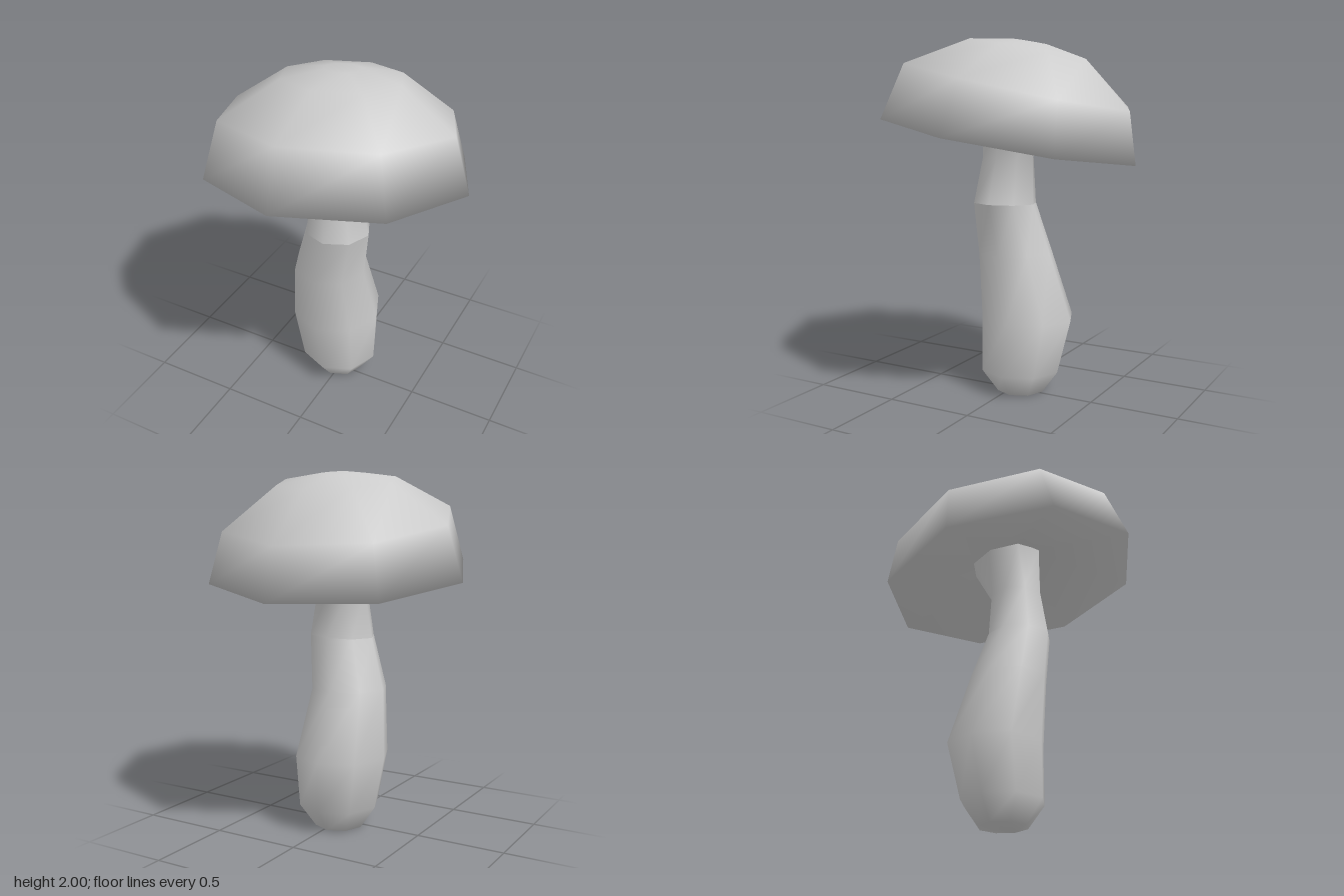
import * as THREE from 'three';

const SIDES = 8;

// Skins a stack of tilted elliptical rings, smooth shaded.
// Ring: [centreX, centreY, centreZ, radiusX, radiusZ, slopeX, slopeZ]
function loft(name, rings, material, closeStart, closeEnd) {
  const pos = [], idx = [];
  for (const [cx, cy, cz, rx, rz, sx = 0, sz = 0] of rings) {
    for (let k = 0; k < SIDES; k++) {
      const a = (k / SIDES) * Math.PI * 2;
      const dx = Math.cos(a) * rx, dz = Math.sin(a) * rz;
      pos.push(cx + dx, cy + sx * dx + sz * dz, cz + dz);
    }
  }
  for (let r = 0; r < rings.length - 1; r++) {
    for (let k = 0; k < SIDES; k++) {
      const a = r * SIDES + k, b = r * SIDES + ((k + 1) % SIDES);
      idx.push(a, a + SIDES, b, b, a + SIDES, b + SIDES);
    }
  }
  const top = (rings.length - 1) * SIDES;
  for (let k = 1; k < SIDES - 1; k++) {
    if (closeStart) idx.push(0, k, k + 1);
    if (closeEnd) idx.push(top, top + k + 1, top + k);
  }
  const geo = new THREE.BufferGeometry();
  geo.setAttribute('position', new THREE.Float32BufferAttribute(pos, 3));
  geo.setIndex(idx);
  geo.computeVertexNormals();
  const mesh = new THREE.Mesh(geo, material);
  mesh.name = name;
  return mesh;
}

export function createModel() {
  const group = new THREE.Group();
  group.name = 'mushroom';
  const grey = new THREE.MeshStandardMaterial({ color: 0xcccccc, side: THREE.DoubleSide });

  // Bulging, slightly bent stem
  const seam = [0.01, 1.09, 0.04, 0.19, 0.178, 0.04, 0];
  group.add(loft('stem', [
    [-0.02, 0, -0.047, 0.14, 0.138],
    [-0.02, 0.13, -0.047, 0.23, 0.233],
    [-0.055, 0.43, -0.072, 0.265, 0.272],
    [-0.055, 0.8, 0.007, 0.215, 0.218],
    seam,
  ], grey, true, false));

  // Neck flaring into the underside of the cap
  group.add(loft('neck', [
    seam,
    [0, 1.35, 0.025, 0.14, 0.153],
    [-0.01, 1.62, -0.05, 0.2, 0.23],
  ], grey, false, false));

  // Tilted cap: hollow underside, rim, steep wall, domed crown
  group.add(loft('cap', [
    [-0.01, 1.6, -0.04, 0.16, 0.18, 0.053, 0.167],
    [0, 1.453, 0, 0.735, 0.735, 0.053, 0.167],
    [-0.018, 1.745, -0.04, 0.645, 0.65, 0.055, 0.205],
    [-0.03, 1.945, -0.09, 0.333, 0.337, 0.053, 0.17],
    [-0.035, 1.985, -0.095, 0.1, 0.1, 0.053, 0.16],
  ], grey, false, true));

  return group;
}
